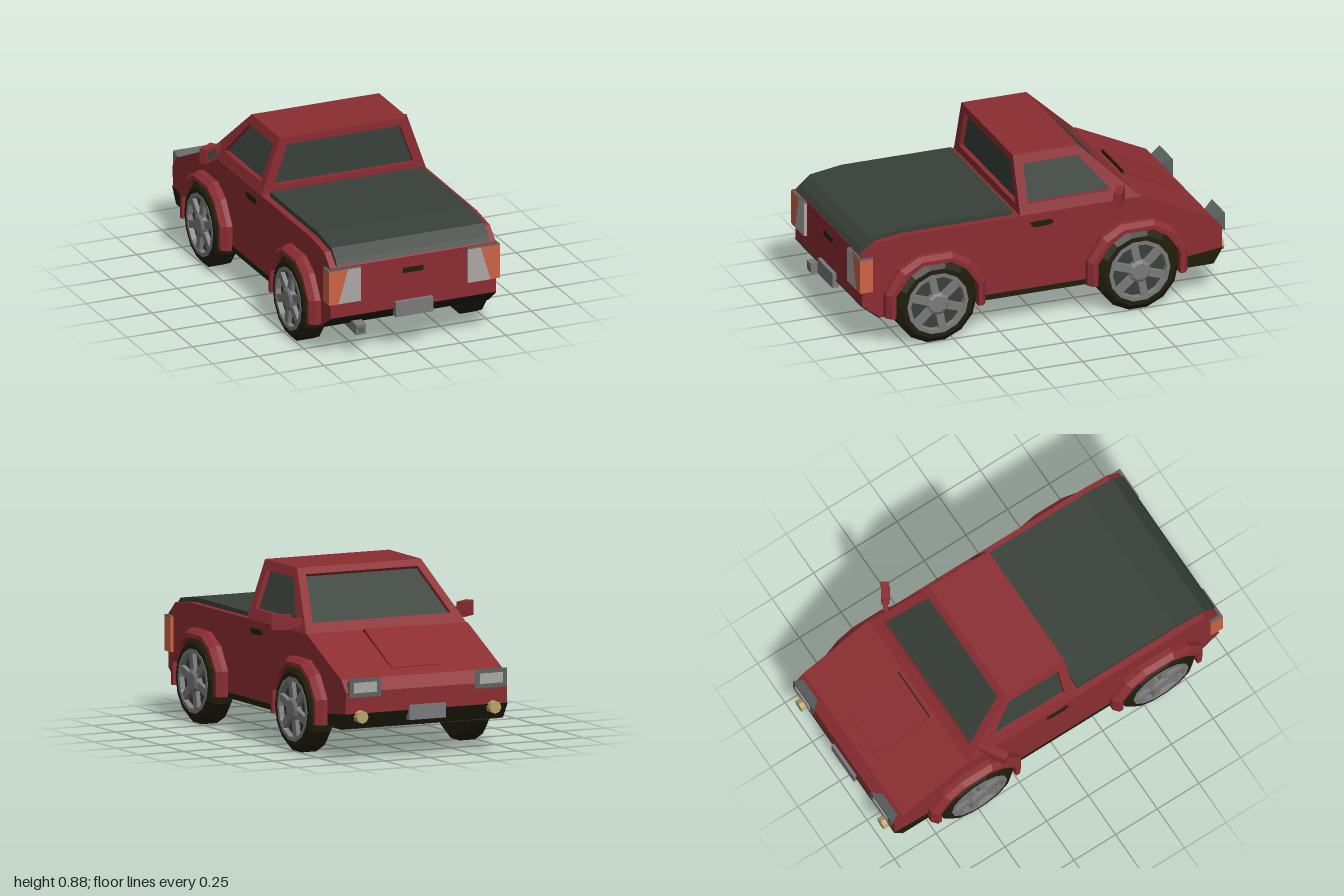
import * as THREE from 'three';

const mat = (name, color) => {
  const m = new THREE.MeshStandardMaterial({ color });
  m.name = name;
  return m;
};

export function createModel() {
  const paint = mat('red paint', 0x8b2d31);
  const glass = mat('dark green glass', 0x384039);
  const rubber = mat('black rubber', 0x1f1e0b);
  const metal = mat('grey metal', 0x7a7a7a);
  const clear = mat('clear lens', 0xaaa7a4);
  const orange = mat('orange lens', 0xcc6344);
  const yellow = mat('fog lens', 0xb8a468);
  const casing = mat('lamp casing', 0x5c6360);

  const car = new THREE.Group();
  car.name = 'pickupTruck';

  // Adds a flat-shaded mesh; mirrored copies get their winding reversed
  const put = (name, geo, material, mirror = false) => {
    const g = geo.index ? geo.toNonIndexed() : geo.clone();
    if (mirror) {
      const p = g.attributes.position;
      const a = new THREE.Vector3(), b = new THREE.Vector3();
      for (let i = 0; i < p.count; i++) p.setX(i, -p.getX(i));
      for (let i = 0; i < p.count; i += 3) {
        a.fromBufferAttribute(p, i + 1);
        b.fromBufferAttribute(p, i + 2);
        p.setXYZ(i + 1, b.x, b.y, b.z);
        p.setXYZ(i + 2, a.x, a.y, a.z);
      }
    }
    g.computeVertexNormals();
    const m = new THREE.Mesh(g, material);
    m.name = name;
    car.add(m);
  };
  const pair = (name, geo, material) => {
    put(name + 'Left', geo, material);
    put(name + 'Right', geo, material, true);
  };

  // Box from its limits
  const box = (x0, x1, y0, y1, z0, z1) =>
    new THREE.BoxGeometry(x1 - x0, y1 - y0, z1 - z0)
      .translate((x0 + x1) / 2, (y0 + y1) / 2, (z0 + z1) / 2);
  // Side profile of [z, y] points, extruded across x
  const side = (pts, x0, x1) =>
    new THREE.ExtrudeGeometry(new THREE.Shape(pts.map(([z, y]) => new THREE.Vector2(-z, y))),
      { depth: x1 - x0, bevelEnabled: false }).rotateY(Math.PI / 2).translate(x0, 0, 0);
  // Polygons of [x, y, z] corners, counter-clockwise from outside
  const faces = (polys) => {
    const v = [];
    for (const q of polys)
      for (let i = 1; i < q.length - 1; i++) v.push(...q[0], ...q[i], ...q[i + 1]);
    const g = new THREE.BufferGeometry();
    g.setAttribute('position', new THREE.Float32BufferAttribute(v, 3));
    return g;
  };
  const ring = (a, b) => a.map((p, i) => {
    const j = (i + 1) % a.length;
    return [p, a[j], b[j], b[i]];
  });

  // Body
  put('body', side([[0.975, 0.24], [0.975, 0.51], [0.9, 0.575], [0.74, 0.595], [-0.54, 0.6],
    [-0.92, 0.42], [-0.97, 0.36], [-0.967, 0.25], [-0.92, 0.17], [0.88, 0.17]], -0.455, 0.455), paint);
  put('bedCover', side([[0.15, 0.57], [0.15, 0.62], [0.74, 0.62], [0.91, 0.595],
    [0.965, 0.545], [0.98, 0.52], [0.9, 0.5]], -0.42, 0.42), glass);
  put('underside', box(-0.45, 0.45, 0.164, 0.172, -0.91, 0.88), glass);
  put('noseTrim', side([[-0.973, 0.25], [-0.922, 0.168], [-0.74, 0.168], [-0.74, 0.225]], -0.457, 0.457), rubber);
  put('tailTrim', side([[0.973, 0.242], [0.98, 0.241], [0.886, 0.165], [0.875, 0.17]], -0.455, 0.455), rubber);
  put('sill', box(-0.457, 0.457, 0.168, 0.195, -0.24, 0.33), rubber);
  put('hoodScoop', side([[-0.56, 0.61], [-0.86, 0.455], [-0.86, 0.44], [-0.56, 0.58]], -0.14, 0.14), paint);
  put('scoopOpening', box(-0.14, 0.14, 0.59, 0.609, -0.56, -0.553), rubber);

  // Cab: roof plus framed panels with recessed glass
  put('roof', faces([[[-0.35, 0.89, 0.12], [0.35, 0.89, 0.12], [0.35, 0.89, -0.23], [-0.35, 0.89, -0.23]]]), paint);
  const panel = (name, outer, inner, [dx, dy, dz], both) => {
    const deep = inner.map(([x, y, z]) => [x + dx, y + dy, z + dz]);
    const add = both ? pair : put;
    add(name + 'Frame', faces([...ring(outer, inner), ...ring(inner, deep)]), paint);
    add(name + 'Glass', faces([deep]), glass);
  };
  panel('rearWindow',
    [[-0.455, 0.59, 0.12], [0.455, 0.59, 0.12], [0.35, 0.89, 0.12], [-0.35, 0.89, 0.12]],
    [[-0.385, 0.64, 0.12], [0.385, 0.64, 0.12], [0.31, 0.85, 0.12], [-0.31, 0.85, 0.12]], [0, 0, -0.025]);
  panel('windscreen',
    [[0.455, 0.59, -0.54], [-0.455, 0.59, -0.54], [-0.35, 0.89, -0.23], [0.35, 0.89, -0.23]],
    [[0.39, 0.647, -0.481], [-0.39, 0.647, -0.481], [-0.315, 0.86, -0.261], [0.315, 0.86, -0.261]],
    [0, -0.014, 0.014]);
  panel('sideWindow',
    [[0.455, 0.59, 0.12], [0.455, 0.59, -0.54], [0.35, 0.89, -0.23], [0.35, 0.89, 0.12]],
    [[0.434, 0.65, 0.07], [0.434, 0.65, -0.38], [0.367, 0.842, -0.225], [0.367, 0.842, 0.07]],
    [-0.025, 0, 0], true);

  // Wheel arches and wheels
  const outer = [[0.27, 0.17], [0.27, 0.3], [0.19, 0.42], [0.09, 0.477],
    [-0.09, 0.477], [-0.19, 0.42], [-0.27, 0.3], [-0.27, 0.17]];
  const inner = [[0.222, 0.17], [0.222, 0.29], [0.155, 0.385], [0.075, 0.435],
    [-0.075, 0.435], [-0.155, 0.385], [-0.222, 0.29], [-0.222, 0.17]];
  const sections = [[0.45, 0], [0.485, 0], [0.513, 0.5], [0.513, 1], [0.45, 1]];
  const tire = [[0.15, 0.38], [0.19, 0.38], [0.22, 0.405], [0.22, 0.49], [0.19, 0.515], [0.162, 0.515], [0.155, 0.495]];
  const rim = [[0.165, 0.5], [0.165, 0.518], [0.145, 0.518], [0.14, 0.49]];
  const spin = (pts, n, z) =>
    new THREE.LatheGeometry(pts.map(([r, x]) => new THREE.Vector2(r, x)), n)
      .rotateZ(-Math.PI / 2).translate(0, 0.22, z);
  const disc = (r, x0, x1, n, z) => spin([[0, x0], [r, x0], [r, x1], [0, x1]], n, z);

  for (const [end, z] of [['front', -0.5], ['rear', 0.59]]) {
    const loops = sections.map(([x, t]) => outer.map(([oz, oy], i) =>
      [x, oy + (inner[i][1] - oy) * t, z + oz + (inner[i][0] - oz) * t]));
    const polys = [loops.map((l) => l[0]).reverse(), loops.map((l) => l[7])];
    for (let k = 0; k < 4; k++)
      for (let i = 0; i < 7; i++)
        polys.push([loops[k][i], loops[k + 1][i], loops[k + 1][i + 1], loops[k][i + 1]]);
    pair(end + 'Arch', faces(polys), paint);
    pair(end + 'WheelWell', side(inner.map(([a, y]) => [a + z, y]), 0.44, 0.461), rubber);
    pair(end + 'Tire', spin(tire, 14, z), rubber);
    pair(end + 'TireBack', disc(0.155, 0.381, 0.4, 14, z), rubber);
    pair(end + 'WheelDisc', disc(0.158, 0.47, 0.492, 14, z), glass);
    pair(end + 'Rim', spin(rim, 14, z), metal);
    pair(end + 'Hub', spin([[0.06, 0.48], [0.06, 0.518], [0.045, 0.527], [0, 0.527]], 10, z), metal);
    for (let i = 0; i < 6; i++)
      pair(end + 'Spoke' + i, box(0.485, 0.515, 0.03, 0.152, -0.02, 0.02)
        .rotateX(i * Math.PI / 3 + 0.2).translate(0, 0.22, z), metal);
  }

  // Tail lamps, split diagonally
  const lamp = (pts) => new THREE.ExtrudeGeometry(
    new THREE.Shape(pts.map(([x, y]) => new THREE.Vector2(x, y))),
    { depth: 0.07, bevelEnabled: false }).translate(0, 0, 0.922);
  pair('tailLampOuter', lamp([[0.418, 0.32], [0.47, 0.32], [0.47, 0.5], [0.365, 0.5]]), orange);
  pair('tailLampInner', lamp([[0.295, 0.32], [0.418, 0.32], [0.365, 0.5], [0.295, 0.5]]), clear);
  pair('tailLampCap', box(0.293, 0.471, 0.499, 0.504, 0.92, 0.99), casing);

  // Headlamps and fog lamps
  const rect = (x0, x1, y0, y1, z) => [[x1, y0, z], [x0, y0, z], [x0, y1, z], [x1, y1, z]];
  const back = rect(0.3, 0.43, 0.37, 0.4, -0.935);
  const front = rect(0.265, 0.445, 0.335, 0.432, -0.988);
  pair('headlampCasing', faces([...ring(back, front), front, [...back].reverse()]), casing);
  pair('headlampLens', box(0.29, 0.42, 0.358, 0.41, -0.993, -0.986), clear);
  pair('fogLamp', new THREE.CylinderGeometry(0.033, 0.033, 0.05, 8)
    .rotateX(Math.PI / 2).translate(0.375, 0.235, -0.975), yellow);

  // Plates, handles and exhaust
  put('rearPlate', box(-0.103, 0.103, 0.2, 0.28, 0.96, 0.996), metal);
  put('frontPlate', box(-0.103, 0.103, 0.2, 0.275, -0.983, -0.945), metal);
  put('tailgateHandle', box(-0.055, 0.055, 0.426, 0.452, 0.972, 0.981), rubber);
  pair('doorHandle', side([[0.07, 0.55], [0.05, 0.527], [-0.04, 0.53], [-0.06, 0.545], [-0.04, 0.558], [0.05, 0.556]],
    0.452, 0.462), rubber);
  put('exhaust', box(-0.31, -0.256, -0.027, 0.027, -0.12, 0.12).rotateX(0.08).translate(0, 0.163, 0.85), metal);
  put('exhaustOpening', box(-0.297, -0.269, -0.014, 0.014, 0.115, 0.122).rotateX(0.08).translate(0, 0.163, 0.85), casing);

  // Door mirrors, swept back
  const swept = (g) => g.rotateY(-0.55).translate(0.515, 0.648, -0.39);
  pair('mirrorHead', swept(box(-0.045, 0.052, -0.038, 0.038, -0.02, 0.022)), paint);
  pair('mirrorArm', swept(box(-0.1, -0.04, -0.025, 0.02, -0.012, 0.012)), paint);
  pair('mirrorGlass', swept(box(-0.025, 0.032, -0.022, 0.022, 0.02, 0.025)), glass);

  return car;
}
